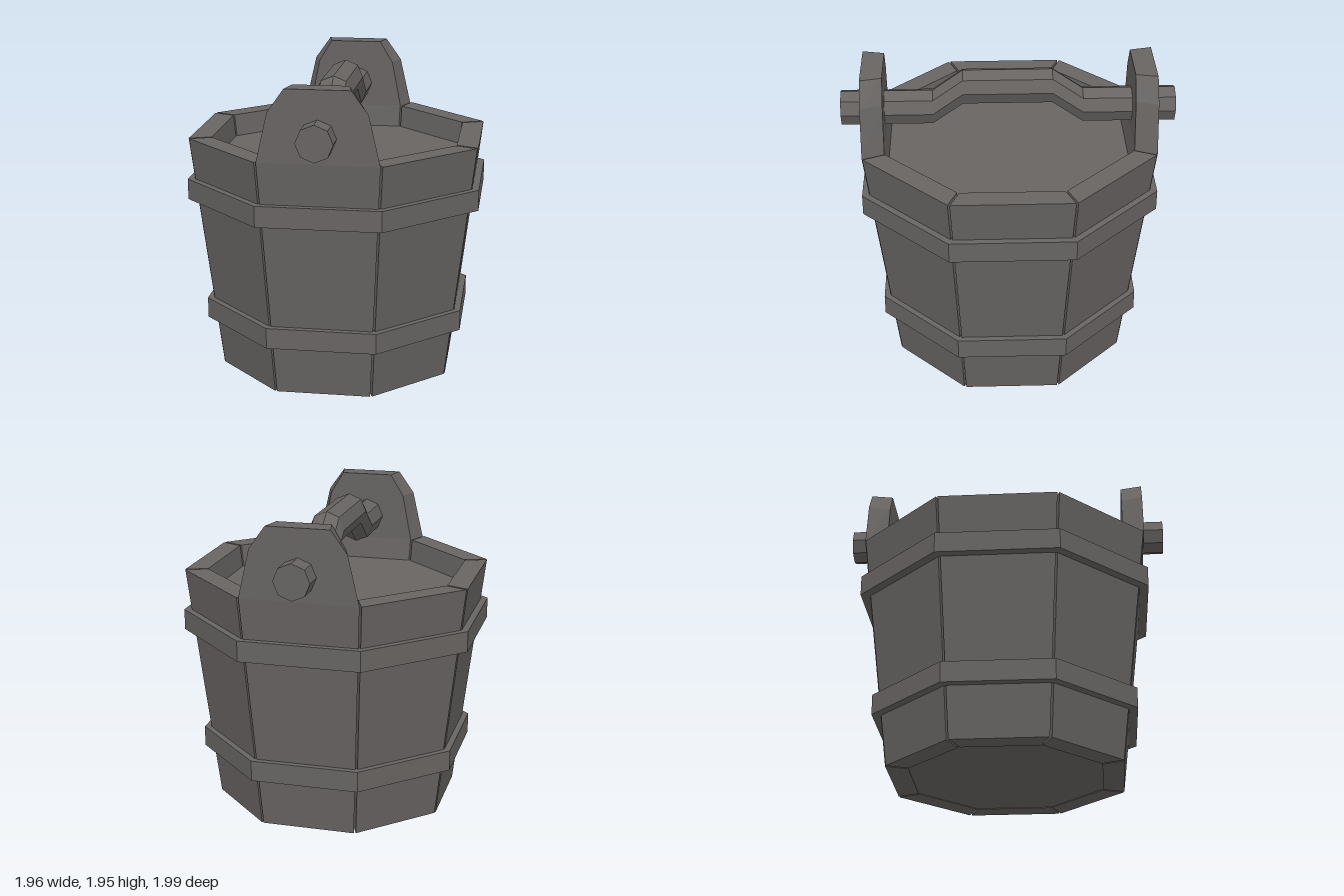
import * as THREE from 'three';

const SIDES = 8;
const HALF = Math.PI / SIDES;
const COS = Math.cos(HALF), TAN = Math.tan(HALF);
const HEIGHT = 1.51, R_BOTTOM = 0.78, R_TOP = 0.97, WALL = 0.145;

// Corner radius of the bucket's outer wall at height y
const outerRadius = (y) => R_BOTTOM + (R_TOP - R_BOTTOM) * (y / HEIGHT);

function moveVertices(geometry, rule) {
  const p = geometry.attributes.position;
  const v = new THREE.Vector3();
  for (let i = 0; i < p.count; i++) {
    v.fromBufferAttribute(p, i);
    rule(v);
    p.setXYZ(i, v.x, v.y, v.z);
  }
  geometry.computeVertexNormals();
  return geometry;
}

// Tapered board with mitred sides, facing +z
function staveGeometry() {
  return moveVertices(new THREE.BoxGeometry(1, 1, 1), (v) => {
    const y = (v.y + 0.5) * HEIGHT;
    const apothem = (outerRadius(y) - (v.z > 0 ? 0 : WALL)) * COS;
    const halfWidth = apothem * TAN - 0.007;
    v.set(Math.sign(v.x) * halfWidth, y, apothem);
  });
}

// Upright ear that continues a stave, narrower on its inner face
function earGeometry() {
  const inner = (R_TOP - WALL) * COS, outer = R_TOP * COS;
  const outline = [[-0.364, HEIGHT], [0.364, HEIGHT], [0.295, 1.81], [0.195, 1.95], [-0.195, 1.95], [-0.295, 1.81]];
  const shape = new THREE.Shape(outline.map(([x, y]) => new THREE.Vector2(x, y)));
  const geometry = new THREE.ExtrudeGeometry(shape, { depth: outer - inner, bevelEnabled: false });
  return moveVertices(geometry, (v) => {
    if (v.z < 0.01) v.x *= inner / outer;
    v.z += inner;
  });
}

// Eight-sided bar that follows a stepped path in z and y
function handleGeometry() {
  const path = [[1.03, 1.665], [0.465, 1.665], [0.28, 1.8], [-0.27, 1.8], [-0.46, 1.665], [-1.03, 1.665]];
  const rows = path.length - 1;
  const bar = new THREE.CylinderGeometry(0.111, 0.111, 1, SIDES, rows).rotateX(Math.PI / 2);
  return moveVertices(bar, (v) => {
    const [z, y] = path[Math.round((0.5 - v.z) * rows)];
    v.y += y;
    v.z = z;
  });
}

function bandGeometry(y0, y1, inner, outer) {
  const profile = [[outer, y0], [outer, y1], [inner, y1], [inner, y0], [outer, y0]];
  return new THREE.LatheGeometry(profile.map(([x, y]) => new THREE.Vector2(x, y)), SIDES);
}

export function createModel() {
  const model = new THREE.Group();
  model.name = 'bucket';
  const wood = new THREE.MeshStandardMaterial({ color: 0x676462, flatShading: true });
  wood.name = 'dark grey';

  const add = (name, geometry, turn = 0) => {
    const mesh = new THREE.Mesh(geometry, wood);
    mesh.name = name;
    mesh.rotation.y = turn;
    model.add(mesh);
    return mesh;
  };

  // Wall of eight staves with narrow gaps
  const stave = staveGeometry();
  for (let i = 0; i < SIDES; i++) add('stave', stave, HALF + i * 2 * HALF);

  // Filled inside, level below the rim and closed at the base
  const fillTop = 1.37, fillBottom = 0.004;
  const fill = new THREE.CylinderGeometry(
    outerRadius(fillTop) - WALL + 0.005, outerRadius(0) - WALL + 0.005, fillTop - fillBottom, SIDES);
  add('filling', fill).position.y = (fillTop + fillBottom) / 2;

  // Hoops
  add('upperBand', bandGeometry(1.12, 1.25, 0.915, 0.982));
  add('lowerBand', bandGeometry(0.32, 0.45, 0.81, 0.877));

  // Two opposite ears and the handle through them
  const ear = earGeometry();
  add('frontEar', ear, -HALF);
  add('backEar', ear, Math.PI - HALF);
  add('handle', handleGeometry(), -HALF);

  return model;
}
